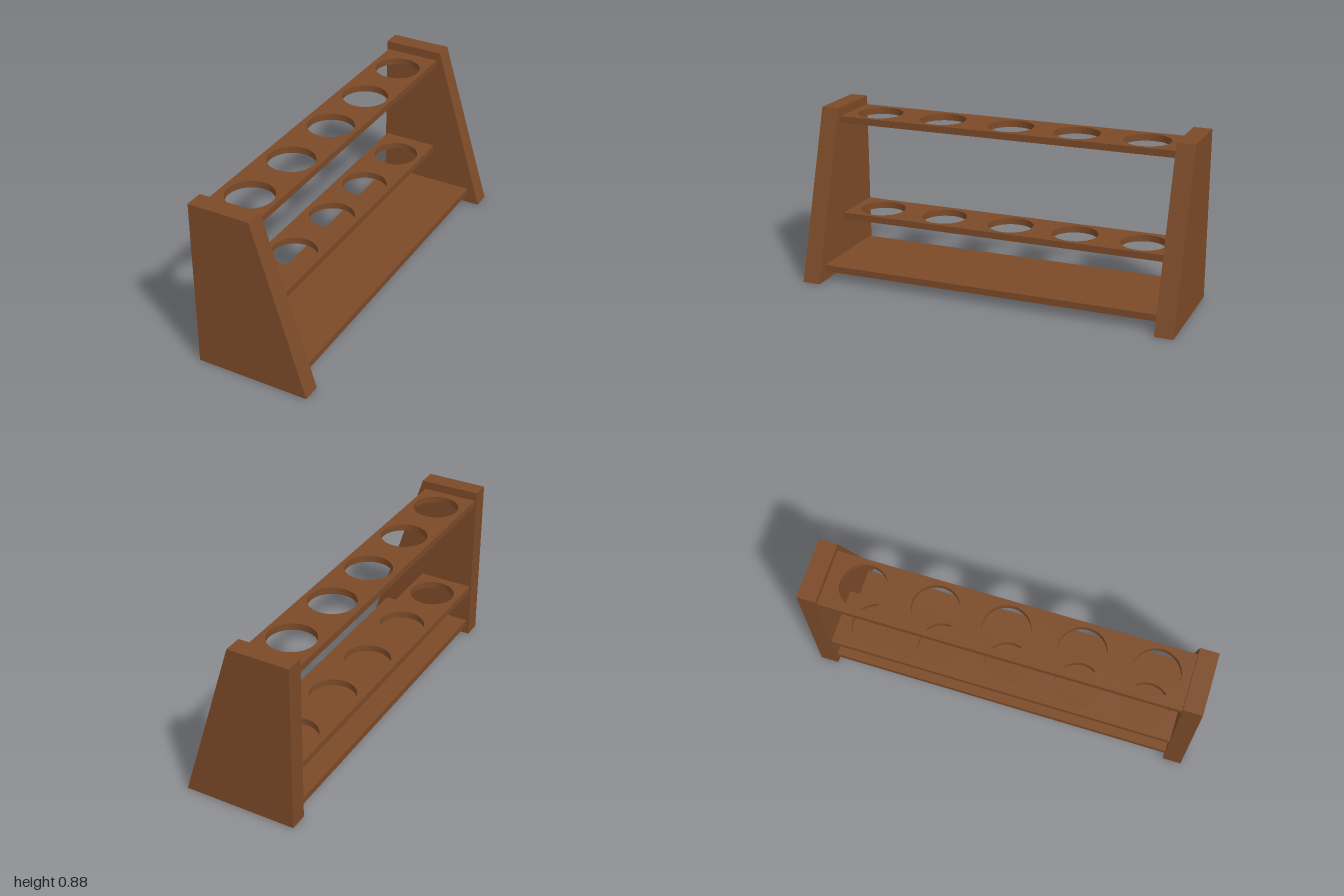
import * as THREE from 'three';

const wood = new THREE.MeshStandardMaterial({ color: 0x7b4a28 });
const INNER = 0.905; // z of the inner faces of the end panels

function polygon(points) {
  return new THREE.Shape(points.map(([x, y]) => new THREE.Vector2(x, y)));
}

// Horizontal board spanning the end panels, with optional round holes
function board(name, x0, x1, y, thickness, holes = []) {
  const shape = polygon([[x0, -INNER], [x1, -INNER], [x1, INNER], [x0, INNER]]);
  for (const z of holes) {
    shape.holes.push(new THREE.Path().absarc(-0.138, -z, 0.119, 0, Math.PI * 2, true));
  }
  const geometry = new THREE.ExtrudeGeometry(shape, { depth: thickness, bevelEnabled: false, curveSegments: 48 });
  geometry.rotateX(-Math.PI / 2);
  const mesh = new THREE.Mesh(geometry, wood);
  mesh.name = name;
  mesh.position.y = y;
  return mesh;
}

export function createModel() {
  const group = new THREE.Group();
  group.name = 'testTubeRack';

  // Sloped end panels
  const profile = polygon([[-0.297, 0], [0.295, 0], [0.022, 0.885], [-0.297, 0.885]]);
  const panel = new THREE.ExtrudeGeometry(profile, { depth: 1 - INNER, bevelEnabled: false });
  for (const [name, z] of [['frontEndPanel', INNER], ['backEndPanel', -1]]) {
    const mesh = new THREE.Mesh(panel, wood);
    mesh.name = name;
    mesh.position.z = z;
    group.add(mesh);
  }

  // Two pierced shelves over a solid base shelf
  const holes = [-0.72, -0.355, 0, 0.377, 0.74];
  group.add(
    board('upperTubeShelf', -0.288, 0.005, 0.804, 0.035, holes),
    board('lowerTubeShelf', -0.288, 0.005, 0.273, 0.035, holes),
    board('baseShelf', -0.28, 0.225, 0.05, 0.035)
  );
  return group;
}
